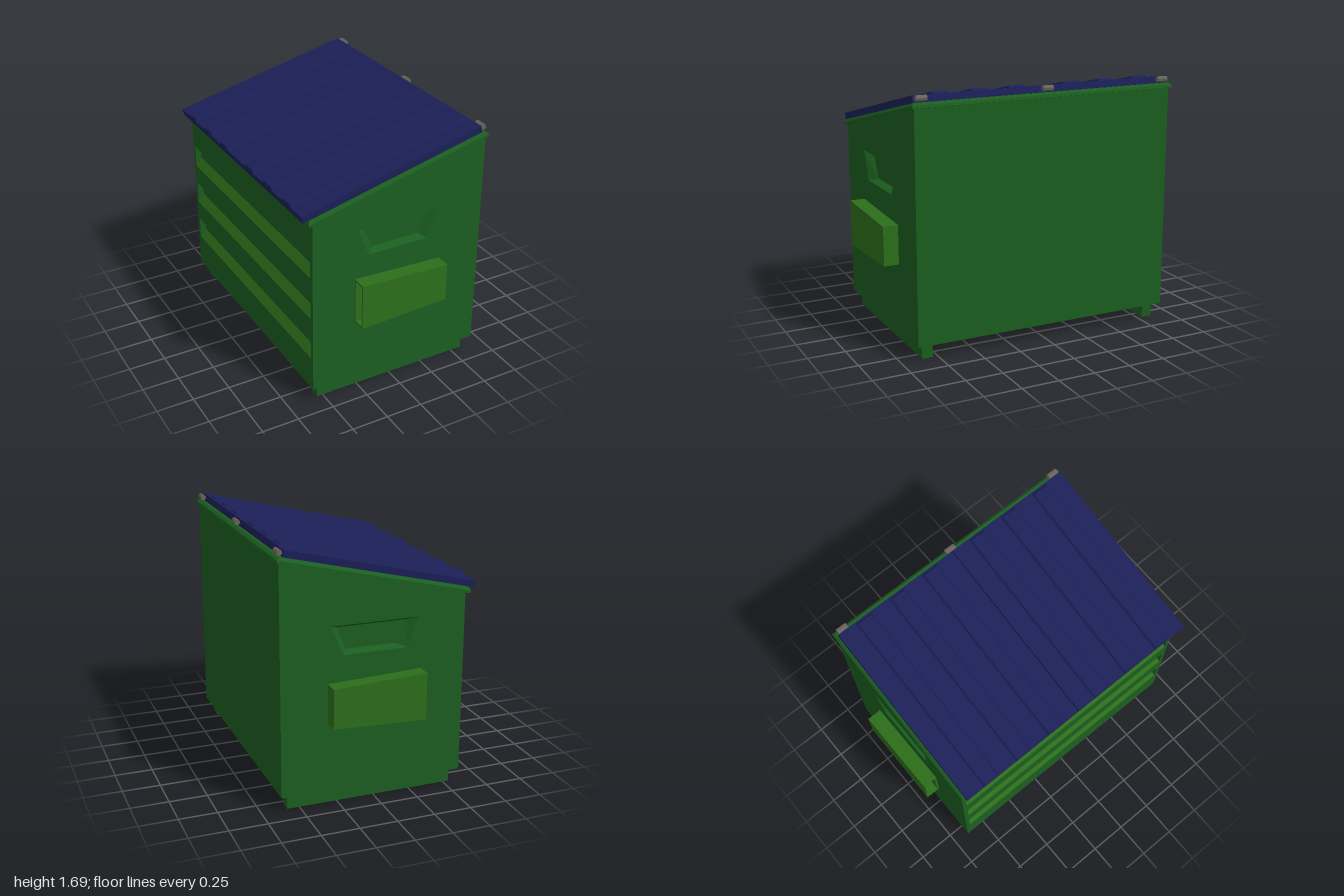
import * as THREE from 'three';

const paint = (color) => new THREE.MeshStandardMaterial({ color, flatShading: true, side: THREE.DoubleSide });
const GREEN = paint(0x1b5e20), LIGHT = paint(0x2c6e1a), BLUE = paint(0x1b1f56), GREY = paint(0x6a625c);

function add(parent, name, geometry, material) {
  const mesh = new THREE.Mesh(geometry, material);
  mesh.name = name;
  parent.add(mesh);
  return mesh;
}

// Joins rings of [x, y, z] points, counter-clockwise as seen from the last ring
function loft(rings, capStart = true, capEnd = true) {
  const pos = [];
  const tri = (a, b, c) => pos.push(...a, ...b, ...c);
  const n = rings[0].length;
  for (let r = 0; r + 1 < rings.length; r++) {
    const a = rings[r], b = rings[r + 1];
    for (let i = 0; i < n; i++) {
      const j = (i + 1) % n;
      tri(a[i], a[j], b[j]);
      tri(a[i], b[j], b[i]);
    }
  }
  const first = rings[0], last = rings[rings.length - 1];
  for (let i = 1; i + 1 < n; i++) {
    if (capStart) tri(first[0], first[i + 1], first[i]);
    if (capEnd) tri(last[0], last[i], last[i + 1]);
  }
  const g = new THREE.BufferGeometry();
  g.setAttribute('position', new THREE.Float32BufferAttribute(pos, 3));
  g.computeVertexNormals();
  return g;
}

// Horizontal and upright rectangular rings for lofts
const level = (y, x0, x1, z0, z1) => [[x0, y, z1], [x1, y, z1], [x1, y, z0], [x0, y, z0]];
const section = (x, y0, y1, z0, z1) => [[x, y0, z0], [x, y0, z1], [x, y1, z1], [x, y1, z0]];

// Flat wall in its own xy plane, facing +z, with recesses { outer, inner, depth }
function wall(name, outline, recesses = []) {
  const g = new THREE.Group();
  g.name = name;
  const vec = (pts) => pts.map(([x, y]) => new THREE.Vector2(x, y));
  const shape = new THREE.Shape(vec(outline));
  for (const { outer, inner, depth } of recesses) {
    shape.holes.push(new THREE.Path(vec(outer)));
    const rings = [outer.map(([x, y]) => [x, y, 0]), inner.map(([x, y]) => [x, y, -depth])];
    add(g, 'recess', loft(rings, false, true), GREEN);
  }
  add(g, 'panel', new THREE.ShapeGeometry(shape), GREEN);
  return g;
}

export function createModel() {
  const model = new THREE.Group();
  const X0 = -0.59, X1 = 0.63, Y0 = 0.1, LOW = 1.303, HIGH = 1.601, Z = 0.9;

  // Sloped end walls, each with a trapezoid hand recess
  const outline = [[X0, Y0], [X1, Y0], [X1, HIGH], [X0, LOW]];
  const outer = [[-0.2, 0.99], [0.225, 0.99], [0.305, 1.18], [-0.275, 1.18]];
  const inner = [[-0.14, 1.01], [0.19, 1.01], [0.25, 1.155], [-0.217, 1.155]];
  const flip = (pts) => pts.map(([x, y]) => [-x, y]).reverse();
  const front = wall('frontWall', outline, [{ outer, inner, depth: 0.05 }]);
  front.position.z = Z;
  const back = wall('backWall', flip(outline), [{ outer: flip(outer), inner: flip(inner), depth: 0.05 }]);
  back.rotation.y = Math.PI;
  back.position.z = -Z;

  // Low wall with three long grooves, each with a sloping sill
  const rect = (w, y0, y1) => [[-w, y0], [w, y0], [w, y1], [-w, y1]];
  const bottoms = [0.33, 0.625, 0.92];
  const low = wall('lowWall', rect(Z, Y0, LOW), bottoms.map((y) => (
    { outer: rect(0.87, y, y + 0.155), inner: rect(0.86, y + 0.06, y + 0.14), depth: 0.04 })));
  for (const y of bottoms) {
    const sill = [[-0.87, y, 0], [0.87, y, 0], [0.86, y + 0.06, -0.04], [-0.86, y + 0.06, -0.04]];
    add(low, 'grooveSill', loft([sill], false, true), LIGHT).position.set(0, 0.001, 0.001);
  }
  low.rotation.y = -Math.PI / 2;
  low.position.x = X0;

  // Plain high wall and floor
  const high = wall('highWall', rect(Z, Y0, HIGH));
  high.rotation.y = Math.PI / 2;
  high.position.x = X1;
  const floor = wall('floor', [[X0, -Z], [X1, -Z], [X1, Z], [X0, Z]]);
  floor.rotation.x = Math.PI / 2;
  floor.position.y = Y0;
  model.add(front, back, low, high, floor);

  for (const s of [1, -1]) {
    // Skid
    add(model, 'skid', new THREE.BoxGeometry(1.12, 0.1, 0.072), GREEN).position.set(0.02, 0.05, s * 0.821);

    // Tapered fork pocket, hollow from its wide end
    const za = s > 0 ? Z : -1, zb = za + 0.1, t = 0.012;
    add(model, 'forkPocket', loft([
      section(0.325, 0.555, 0.815, za, zb),
      section(-0.295, 0.53, 0.84, za, zb),
      section(-0.295, 0.53 + t, 0.84 - t, za + t, zb - t),
      section(0.313, 0.555 + t, 0.815 - t, za + t, zb - t),
    ]), LIGHT);
  }

  // Everything on top lies along the slope
  const top = new THREE.Group();
  top.name = 'slopedTop';
  top.position.set(0.0155, 1.4505, 0);
  top.rotation.z = Math.atan2(0.309, 1.265);
  model.add(top);

  // Chamfered rim
  add(top, 'rim', loft([
    level(0, -0.651, 0.651, -0.915, 0.915),
    level(0.018, -0.651, 0.651, -0.915, 0.915),
    level(0.036, -0.636, 0.636, -0.9, 0.9),
  ]), GREEN);

  // Two lids with three raised ribs each
  for (const s of [1, -1]) {
    const lid = new THREE.Group();
    lid.name = 'lid';
    top.add(lid);
    add(lid, 'lidPanel', new THREE.BoxGeometry(1.29, 0.044, 0.893), BLUE).position.set(-0.03, 0.06, s * 0.4495);
    for (const z of [0.19, 0.448, 0.706]) {
      add(lid, 'lidRib', loft([
        level(0.08, -0.675, 0.605, -0.062, 0.062),
        level(0.097, -0.668, 0.592, -0.05, 0.05),
      ]), BLUE).position.z = s * z;
    }
  }

  // Hinge barrels along the high edge
  for (const z of [-0.85, 0, 0.85]) {
    const hinge = new THREE.CylinderGeometry(0.019, 0.019, 0.072, 8).rotateX(Math.PI / 2);
    add(top, 'hinge', hinge, GREY).position.set(0.636, 0.06, z);
  }
  return model;
}
